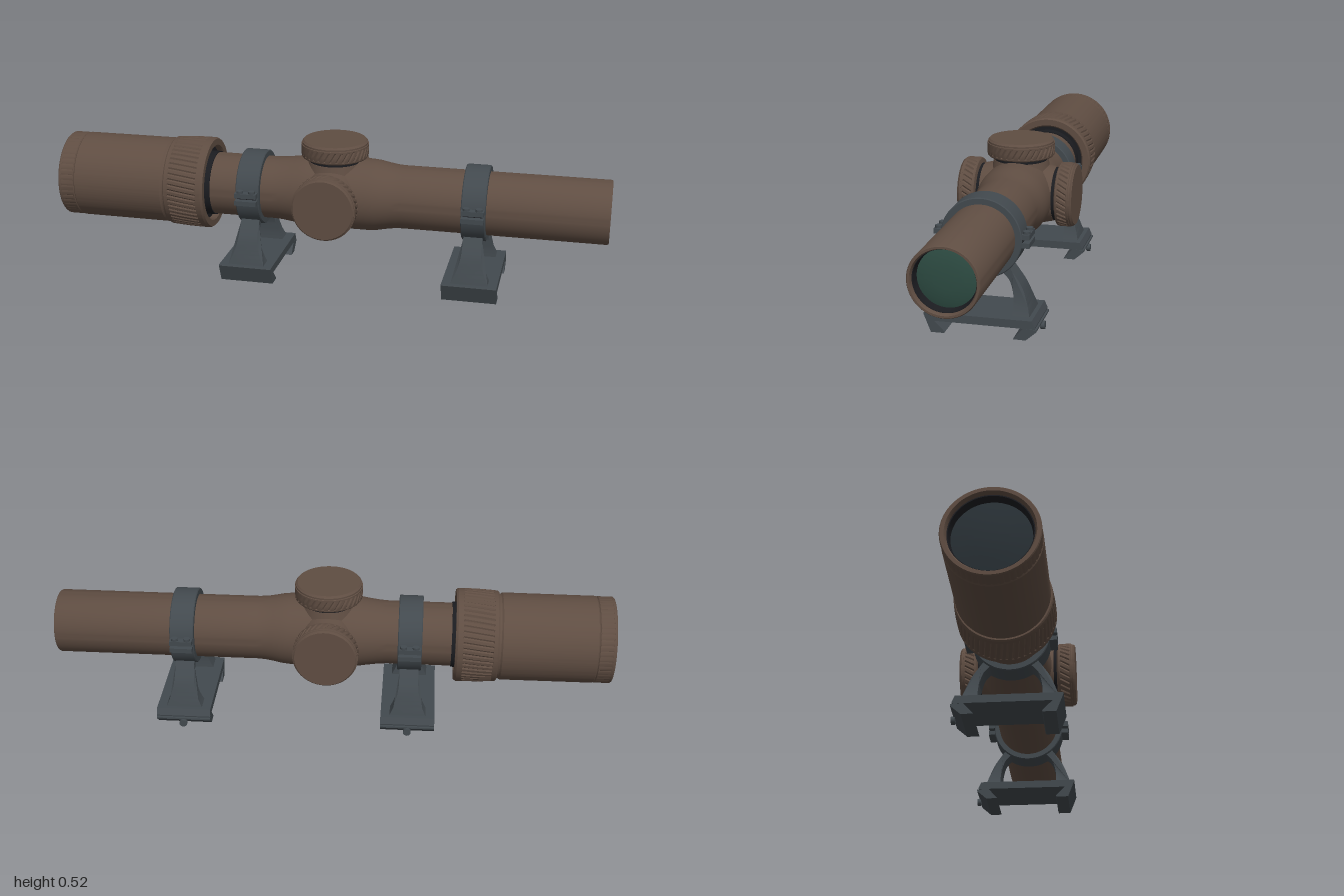
import * as THREE from 'three';
import { toCreasedNormals } from 'three/addons/utils/BufferGeometryUtils.js';

const AXIS_Y = 0.32, AXIS_Z = -0.003, KNOB_X = 0.015;

const material = (name, color, side = THREE.FrontSide) => {
  const m = new THREE.MeshStandardMaterial({ color, side });
  m.name = name;
  return m;
};

export function createModel() {
  const brown = material('brown body', 0x5f4d42);
  const slate = material('slate mount', 0x42494e);
  const black = material('black trim', 0x1b1c20);
  const green = material('green lens', 0x2d4b42);
  const smoke = material('smoky lens', 0x293136);

  const root = new THREE.Group();
  root.name = 'riflescope';

  const add = (parent, name, geometry, mat, x = 0, y = 0, z = 0) => {
    const mesh = new THREE.Mesh(geometry, mat);
    mesh.name = name;
    mesh.position.set(x, y, z);
    parent.add(mesh);
    return mesh;
  };

  // Turned part from [radius, height, grooved?]; grooved rows get slanted ribs
  const turned = (profile, ribs = 0, depth = 0, twist = 0) => {
    const segments = ribs ? ribs * 4 : 72;
    const g = new THREE.LatheGeometry(profile.map(p => new THREE.Vector2(p[0], p[1])), segments);
    if (ribs) {
      const pos = g.attributes.position, n = profile.length;
      for (let i = 0; i < pos.count; i++) {
        const [r, h, grooved] = profile[i % n];
        const seg = Math.floor(i / n);
        const a = (seg % segments) / segments * Math.PI * 2 + h * twist;
        const rr = r - (grooved && seg % 4 === 0 ? depth : 0);
        pos.setXYZ(i, Math.sin(a) * rr, h, Math.cos(a) * rr);
      }
    }
    return toCreasedNormals(g, 0.55);
  };
  // Same, lying along x on the optical axis
  const optic = (name, profile, mat, ...rib) =>
    add(root, name, turned(profile, ...rib).rotateZ(-Math.PI / 2), mat, 0, AXIS_Y, AXIS_Z);

  // Main tube with swollen saddle and hollow objective end
  optic('mainTube', [
    [0, -0.5], [0.112, -0.5], [0.112, -0.43], [0.114, -0.43], [0.114, -0.2], [0.116, -0.17],
    [0.122, -0.125], [0.127, -0.095], [0.13, -0.06], [0.13, 0.15], [0.127, 0.18], [0.121, 0.21],
    [0.116, 0.24], [0.114, 0.27], [0.114, 0.995], [0.111, 1], [0.104, 1], [0.1, 0.99], [0.1, 0.97],
  ], brown);
  optic('objectiveSleeve', [[0.1, 0.985], [0.098, 0.985], [0.093, 0.95], [0, 0.94]], black);
  optic('objectiveLens', [[0.0945, 0.955], [0.075, 0.961], [0.04, 0.965], [0, 0.966]], green);

  // Eyepiece, hollow at the rear, finely notched behind the seam
  optic('eyepiece', [
    [0.132, -0.97], [0.134, -0.99], [0.14, -1], [0.152, -1], [0.155, -0.996], [0.155, -0.99],
    [0.155, -0.988, 1], [0.155, -0.945, 1], [0.155, -0.943], [0.152, -0.94], [0.156, -0.936],
    [0.157, -0.606], [0.153, -0.6], [0.153, -0.58], [0, -0.58],
  ], brown, 48, 0.002);
  optic('eyepieceSleeve', [[0, -0.94], [0.124, -0.95], [0.13, -0.985], [0.134, -0.985]], black);
  optic('eyepieceLens', [[0, -0.968], [0.07, -0.965], [0.125, -0.956]], smoke);

  // Ribbed magnification ring with a dark recess facing the tube
  optic('zoomRing', [
    [0.145, -0.593], [0.159, -0.593], [0.163, -0.588], [0.164, -0.575], [0.1645, -0.573, 1],
    [0.167, -0.53, 1], [0.168, -0.49, 1], [0.168, -0.468, 1], [0.168, -0.466], [0.168, -0.448],
    [0.163, -0.44], [0.14, -0.44], [0.135, -0.445], [0.135, -0.48],
  ], brown, 52, 0.004, 0.8);
  optic('zoomRecess', [[0.136, -0.462], [0.118, -0.462], [0.118, -0.428], [0.112, -0.428]], black);

  // Three turrets: top, front side and rear side
  const bossGeo = new THREE.CylinderGeometry(0.098, 0.118, 0.09, 64);
  const neckGeo = new THREE.CylinderGeometry(0.096, 0.096, 0.02, 64);
  const knobGeo = turned([
    [0, 0], [0.096, 0], [0.116, 0.005], [0.119, 0.009], [0.119, 0.013], [0.12, 0.015, 1],
    [0.12, 0.03, 1], [0.12, 0.046, 1], [0.12, 0.048], [0.12, 0.053], [0.117, 0.054],
    [0.117, 0.06], [0.111, 0.067], [0, 0.067],
  ], 34, 0.0045, 5);
  const turret = (name, rotX, seat, scale) => {
    const g = new THREE.Group();
    g.name = name;
    g.position.set(KNOB_X, AXIS_Y, AXIS_Z);
    g.rotation.x = rotX;
    add(g, 'boss', bossGeo, brown, 0, seat - 0.055, 0);
    add(g, 'neck', neckGeo, black, 0, seat - 0.005, 0);
    add(g, 'knob', knobGeo, brown, 0, seat, 0).scale.set(scale, 1, scale);
    root.add(g);
    return g;
  };
  turret('topTurret', 0, 0.134, 1.01);
  turret('rearTurret', -Math.PI / 2, 0.139, 0.965);
  const side = turret('frontTurret', Math.PI / 2, 0.145, 0.965);
  // Slanted indicator on the front turret
  add(side, 'indicator', new THREE.BoxGeometry(0.068, 0.004, 0.008), black, 0, 0.068, 0)
    .rotation.y = Math.PI / 4;

  // Prism along x from a (z, y) outline
  const prism = (shape, width) => new THREE.ExtrudeGeometry(shape, {
    depth: width, bevelEnabled: false, curveSegments: 10,
  }).translate(0, 0, -width / 2).rotateY(-Math.PI / 2);
  const outline = pts => new THREE.Shape(pts.map(p => new THREE.Vector2(...p)));

  const baseGeo = prism(outline([
    [0.18, 0.066], [0.155, 0.002], [0.11, 0.002], [0.107, 0.006], [0.143, 0.042],
    [-0.194, 0.042], [-0.195, 0.047], [-0.184, 0.07], [0.178, 0.07],
  ]), 0.195);
  const clawGeo = prism(outline([
    [-0.122, 0.003], [-0.164, 0.002], [-0.2, 0.034], [-0.2, 0.04], [-0.156, 0.0425],
  ]), 0.195);

  // Curved leg that flares in width toward the base
  const legGeo = s => {
    const shape = new THREE.Shape();
    shape.moveTo(s * 0.167, 0.068);
    shape.splineThru([[0.154, 0.112], [0.133, 0.165], [0.094, 0.222]]
      .map(([z, y]) => new THREE.Vector2(s * z, y)));
    shape.lineTo(s * 0.068, 0.208);
    shape.splineThru([[0.092, 0.182], [0.105, 0.145], [0.11, 0.105], [0.109, 0.068]]
      .map(([z, y]) => new THREE.Vector2(s * z, y)));
    const g = prism(shape, 1);
    const pos = g.attributes.position;
    for (let i = 0; i < pos.count; i++) {
      const t = Math.max(0, (0.2 - pos.getY(i)) / 0.132);
      pos.setX(i, pos.getX(i) * (0.068 + 0.064 * t ** 2.2));
    }
    return toCreasedNormals(g, 0.5);
  };
  const legs = [legGeo(1), legGeo(-1)];

  const ringGeo = turned([
    [0.113, -0.043], [0.133, -0.043], [0.136, -0.04], [0.136, 0.04], [0.133, 0.043], [0.113, 0.043],
  ]).rotateZ(-Math.PI / 2);
  const earGeo = new THREE.BoxGeometry(0.08, 0.017, 0.05);
  const screwGeo = new THREE.CylinderGeometry(0.012, 0.012, 0.012, 16);
  const gapGeo = new THREE.BoxGeometry(0.07, 0.016, 0.026);

  // Two clamp mounts
  for (const [name, x] of [['rearMount', -0.281], ['frontMount', 0.533]]) {
    const m = new THREE.Group();
    m.name = name;
    m.position.x = x;
    root.add(m);
    add(m, 'railBase', baseGeo, slate);
    add(m, 'railClaw', clawGeo, slate);
    add(m, 'clampBolt', new THREE.CylinderGeometry(0.014, 0.014, 0.014, 20).rotateX(Math.PI / 2),
      slate, 0, 0.022, -0.201);
    add(m, 'clampRing', ringGeo, slate, 0, AXIS_Y, AXIS_Z);
    for (const s of [1, -1]) {
      add(m, 'leg', legs[s > 0 ? 0 : 1], slate, 0, 0, AXIS_Z);
      add(m, 'upperEar', earGeo, slate, 0, 0.332, AXIS_Z + s * 0.135);
      add(m, 'lowerEar', earGeo, slate, 0, 0.304, AXIS_Z + s * 0.135);
      add(m, 'earGap', gapGeo, black, 0, 0.318, AXIS_Z + s * 0.124);
      for (const dx of [-0.022, 0.022])
        add(m, 'earScrew', screwGeo, slate, dx, 0.343, AXIS_Z + s * 0.147);
    }
  }
  return root;
}
